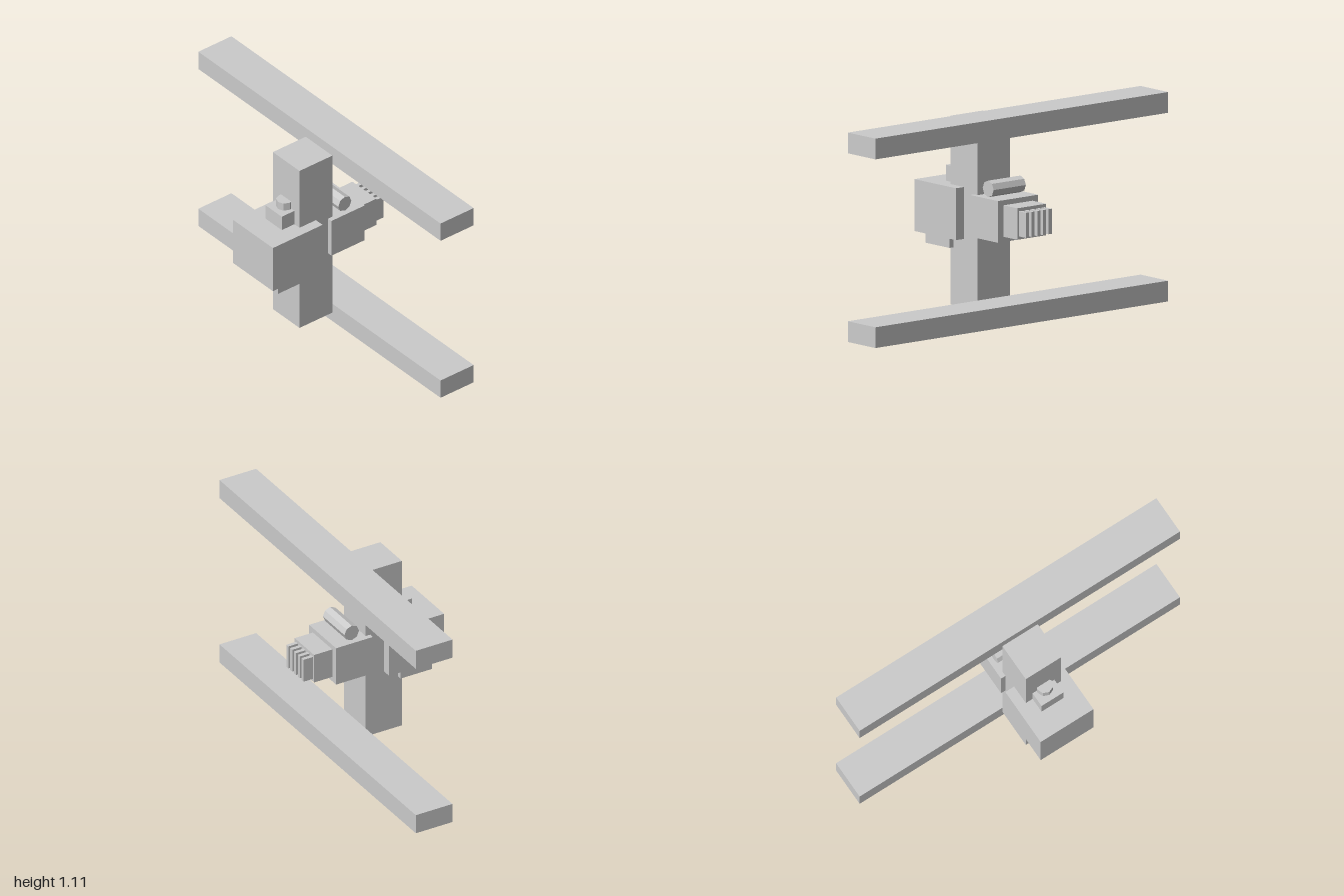
import * as THREE from 'three';

export function createModel() {
  const group = new THREE.Group();
  const material = new THREE.MeshStandardMaterial({ color: 0xcccccc, flatShading: true });

  const add = (name, geometry, x, y, z) => {
    const mesh = new THREE.Mesh(geometry, material);
    mesh.name = name;
    mesh.position.set(x, y, z);
    group.add(mesh);
    return mesh;
  };
  // Box from its width, centre x, and y and z limits
  const box = (name, width, y0, y1, z0, z1, x = 0) =>
    add(name, new THREE.BoxGeometry(width, y1 - y0, z1 - z0), x, (y0 + y1) / 2, (z0 + z1) / 2);

  // Frame: two long rails joined by an upright post
  box('lowerRail', 2, 0, 0.11, -0.265, -0.043);
  box('upperRail', 2, 1.0, 1.11, -0.265, -0.043);
  box('post', 0.22, 0.057, 1.057, -0.04, 0.18);

  // Front unit: housing, base plate, top block and knob
  box('frontHousing', 0.33, 0.42, 0.695, 0.07, 0.403);
  box('basePlate', 0.275, 0.363, 0.42, 0.155, 0.347);
  box('topBlock', 0.136, 0.695, 0.78, 0.13, 0.265);
  add('knob', new THREE.CylinderGeometry(0.045, 0.045, 0.045, 8), 0, 0.802, 0.191);

  // Rear unit: stepped housing with a roller above
  box('rearHousing', 0.275, 0.447, 0.668, -0.235, -0.012);
  box('rearBlock', 0.198, 0.474, 0.641, -0.345, -0.235);
  const roller = add('roller', new THREE.CylinderGeometry(0.044, 0.044, 0.22, 8), 0, 0.713, -0.124);
  roller.rotation.z = Math.PI / 2;

  // Row of upright fins at the back
  for (let i = -2; i <= 2; i++) box('fin', 0.021, 0.491, 0.624, -0.402, -0.345, i * 0.039);

  return group;
}
